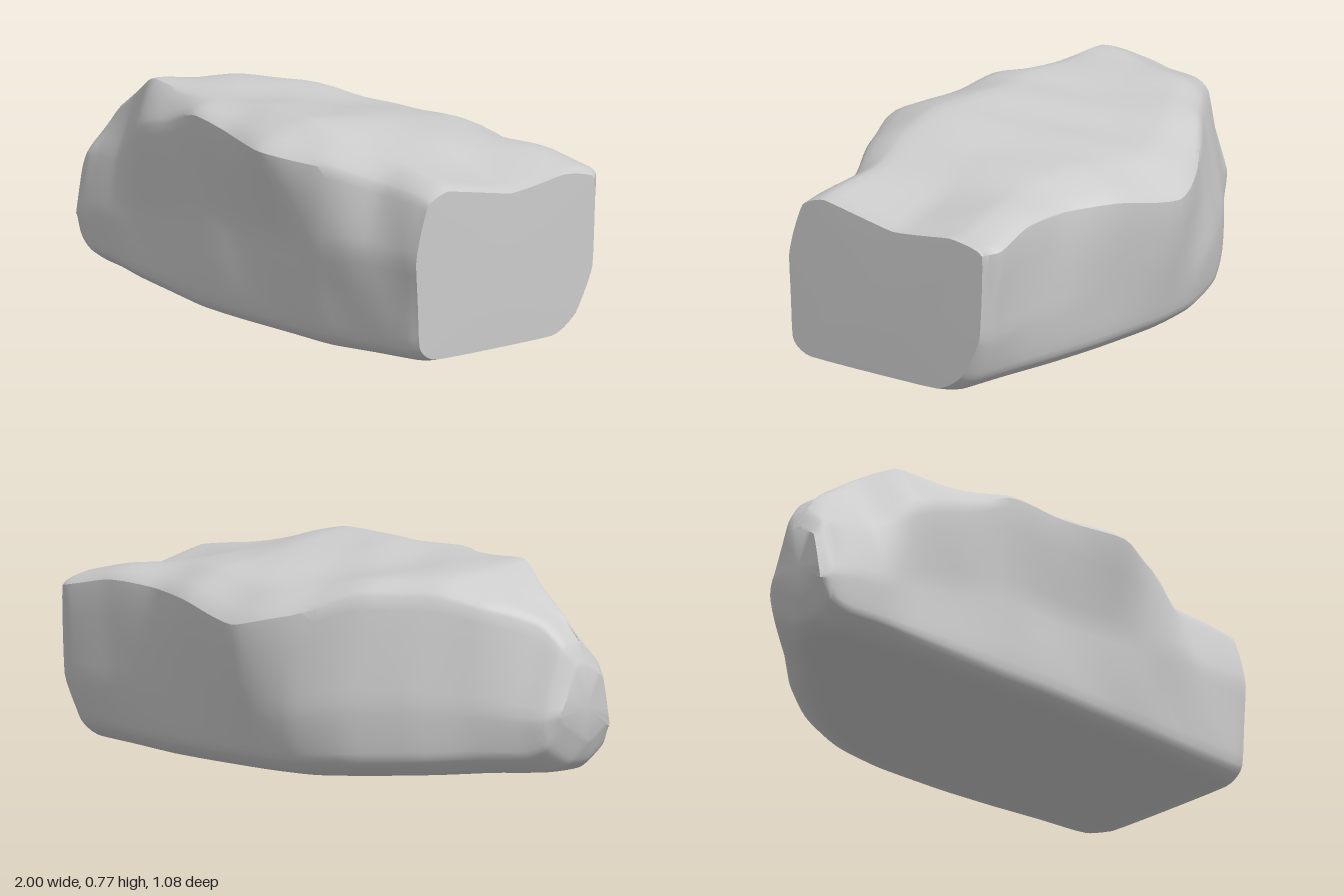
import * as THREE from 'three';
import { toCreasedNormals } from 'three/addons/utils/BufferGeometryUtils.js';

// Cross-sections along x: front z (low, mid, top), front edge y, crown y,
// back edge z and y, back z (mid, low), underside y
const SECTIONS = [
  [-1.00, 0.32, 0.33, 0.30, 0.37, 0.42, 0.17, 0.40, 0.09, 0.14, 0.15],
  [-0.96, 0.34, 0.355, 0.31, 0.42, 0.50, 0.13, 0.48, 0.04, 0.09, 0.07],
  [-0.89, 0.36, 0.37, 0.31, 0.44, 0.58, 0.09, 0.55, -0.01, 0.04, 0.035],
  [-0.75, 0.38, 0.385, 0.34, 0.46, 0.67, -0.05, 0.61, -0.12, -0.07, 0.03],
  [-0.60, 0.40, 0.39, 0.395, 0.57, 0.745, -0.15, 0.65, -0.24, -0.20, 0.02],
  [-0.40, 0.42, 0.41, 0.43, 0.64, 0.745, -0.30, 0.65, -0.37, -0.33, 0.01],
  [-0.20, 0.44, 0.44, 0.455, 0.71, 0.75, -0.45, 0.58, -0.46, -0.40, 0.00],
  [0.00, 0.45, 0.44, 0.48, 0.70, 0.76, -0.54, 0.54, -0.485, -0.42, 0.00],
  [0.28, 0.45, 0.465, 0.54, 0.68, 0.77, -0.49, 0.59, -0.46, -0.40, 0.00],
  [0.50, 0.45, 0.475, 0.46, 0.66, 0.72, -0.43, 0.61, -0.43, -0.37, 0.00],
  [0.72, 0.43, 0.435, 0.36, 0.62, 0.68, -0.43, 0.61, -0.42, -0.35, 0.01],
  [0.92, 0.415, 0.42, 0.35, 0.60, 0.65, -0.46, 0.58, -0.43, -0.34, 0.02],
  [0.975, 0.40, 0.415, 0.355, 0.59, 0.63, -0.42, 0.57, -0.41, -0.30, 0.03],
];
const STEP = 5;
const { lerp: mix, smoothstep } = THREE.MathUtils;

// Eleven corners of one section, from the front underside over the top to the back
function corners([x, fLow, fMid, fTop, fY, crownY, bTop, bY, bMid, bLow, base]) {
  const crownInset = 0.09 + 0.14 * Math.exp(-(((x - 0.2) / 0.35) ** 2));
  const hollow = 0.04 * smoothstep(x, 0.4, 0.9);
  const skew = 0.05 * smoothstep(x, 0.7, 0.95);
  return [
    [fLow - 0.08, base + 0.005],
    [fLow, base + 0.06],
    [fMid, fY * (0.52 + 0.14 * smoothstep(x, 0.3, 0.9))],
    [fTop, fY],
    [fTop - crownInset, crownY],
    [mix(bTop, fTop, 0.5), mix(bY, crownY, 0.78) - hollow],
    [mix(bTop, fTop, 0.18), mix(bY, crownY, 0.5) + 0.01],
    [bTop, bY],
    [bMid, mix(base, bY, 0.42)],
    [bLow - 0.03, base + 0.07],
    [bLow + 0.08, base + 0.005],
  ].map(([z, y]) => new THREE.Vector3(x + skew * z, y, z));
}

// Shallow weathering dents, fading out at the underside
function weather(p) {
  const fade = smoothstep(p.y, 0.03, 0.25);
  const d = Math.sin(9 * p.x + 5 * p.z) * Math.sin(11 * p.y + 4 * p.x + 1)
    + 0.6 * Math.sin(17 * p.x - 13 * p.z + 6 * p.y);
  p.z *= 1 + 0.01 * d * fade;
  p.y = Math.max(0, p.y + 0.004 * d * fade);
  return p;
}

function rockGeometry() {
  const rings = SECTIONS.map(corners);
  const sides = rings[0].length;
  const columns = (SECTIONS.length - 1) * STEP;
  const around = sides * STEP;

  // Curves running along the length, one per corner
  const rails = Array.from({ length: sides }, (_, j) =>
    new THREE.CatmullRomCurve3(rings.map((r) => r[j]), false, 'catmullrom', 0.3));

  const positions = [];
  const index = [];
  for (let i = 0; i <= columns; i++) {
    const ring = new THREE.CatmullRomCurve3(
      rails.map((rail) => rail.getPoint(i / columns)), true, 'catmullrom', 0.2);
    for (let j = 0; j < around; j++) {
      const p = weather(ring.getPoint(j / around));
      positions.push(p.x, p.y, p.z);
    }
  }
  for (let i = 0; i < columns; i++) {
    for (let j = 0; j < around; j++) {
      const k = (j + 1) % around;
      const a = i * around + j, b = a + around;
      const c = i * around + k, d = c + around;
      index.push(a, b, c, b, d, c);
    }
  }

  // Broken end faces
  for (const [column, x, y, z] of [[0, -1, 0.27, 0.22], [columns, 0.98, 0.31, 0]]) {
    const centre = positions.length / 3;
    positions.push(x, y, z);
    for (let j = 0; j < around; j++) {
      const a = column * around + j;
      const b = column * around + (j + 1) % around;
      if (column === 0) index.push(centre, a, b);
      else index.push(centre, b, a);
    }
  }

  const geometry = new THREE.BufferGeometry();
  geometry.setAttribute('position', new THREE.Float32BufferAttribute(positions, 3));
  geometry.setIndex(index);
  return toCreasedNormals(geometry, 0.6);
}

export function createModel() {
  const model = new THREE.Group();
  model.name = 'rock';
  const boulder = new THREE.Mesh(rockGeometry(), new THREE.MeshStandardMaterial({ color: 0xcccccc }));
  boulder.name = 'boulder';
  model.add(boulder);
  return model;
}
